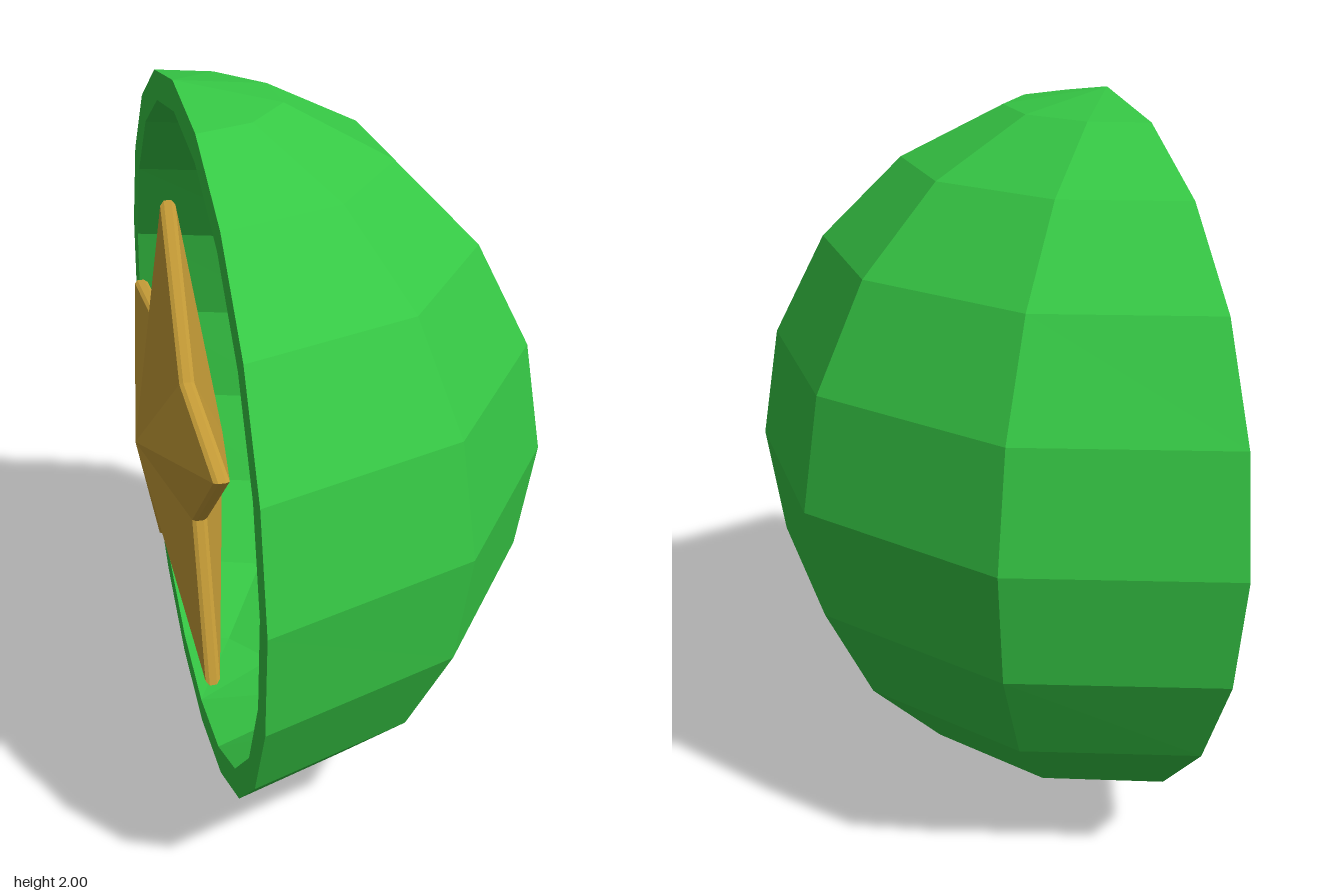
import * as THREE from 'three';

const CUT = -0.385;    // plane of the open rim
const CENTRE = -0.418; // x of the sphere centre
const LAT = 10, LON = 5;

// Collects quads into one flat-faced geometry, dropping collapsed triangles
function faceBuilder() {
  const positions = [];
  const tri = (a, b, c) => {
    const n = b.clone().sub(a).cross(c.clone().sub(a));
    if (n.length() > 1e-7) for (const p of [a, b, c]) positions.push(p.x, p.y, p.z);
  };
  return {
    quad(a, b, c, d) { tri(a, b, c); tri(a, c, d); },
    build() {
      const g = new THREE.BufferGeometry();
      g.setAttribute('position', new THREE.Float32BufferAttribute(positions, 3));
      g.computeVertexNormals();
      return g;
    },
  };
}

// Point on the half sphere, trimmed at the rim plane
function domePoint(radius, i, j) {
  const t = (i / LAT) * Math.PI, p = (j / LON) * Math.PI;
  return new THREE.Vector3(
    Math.max(CUT, CENTRE + radius * Math.sin(t) * Math.sin(p)),
    1 + radius * Math.cos(t),
    radius * Math.sin(t) * Math.cos(p));
}

function domeSurface(radius, inward) {
  const f = faceBuilder();
  for (let i = 0; i < LAT; i++) {
    for (let j = 0; j < LON; j++) {
      const c = [[i, j], [i + 1, j], [i + 1, j + 1], [i, j + 1]].map(([u, v]) => domePoint(radius, u, v));
      if (inward) c.reverse();
      f.quad(...c);
    }
  }
  return f.build();
}

// Flat ring joining the outer and inner surfaces
function rimSurface(outer, inner) {
  const f = faceBuilder();
  for (const j of [0, LON]) {
    for (let i = 0; i < LAT; i++) {
      const c = [domePoint(outer, i, j), domePoint(outer, i + 1, j),
        domePoint(inner, i + 1, j), domePoint(inner, i, j)];
      if (j === 0) c.reverse();
      f.quad(...c);
    }
  }
  return f.build();
}

// Five-pointed star lofted along x, peaked on both sides with a bevelled edge
function starSurface() {
  const rings = [[-0.535, 0], [-0.432, 0.98], [-0.422, 1], [-0.402, 1], [-0.392, 0.98], [-0.29, 0]];
  const point = ([x, scale], k) => {
    const a = (k * Math.PI) / 5, r = scale * (k % 2 ? 0.315 : 0.69);
    return new THREE.Vector3(x, 1 + r * Math.cos(a), r * Math.sin(a));
  };
  const f = faceBuilder();
  for (let s = 0; s < rings.length - 1; s++) {
    for (let k = 0; k < 10; k++) {
      f.quad(point(rings[s], k), point(rings[s], k + 1), point(rings[s + 1], k + 1), point(rings[s + 1], k));
    }
  }
  return f.build();
}

export function createModel() {
  const green = new THREE.MeshStandardMaterial({ color: 0x36c845, flatShading: true });
  green.name = 'green';
  const gold = new THREE.MeshStandardMaterial({ color: 0xc99f38, flatShading: true });
  gold.name = 'gold';

  const model = new THREE.Group();
  model.name = 'halfShellWithStar';
  const add = (name, geometry, material, parent) => {
    const mesh = new THREE.Mesh(geometry, material);
    mesh.name = name;
    parent.add(mesh);
  };

  // Hollow half shell
  const shell = new THREE.Group();
  shell.name = 'shell';
  add('shellOutside', domeSurface(1, false), green, shell);
  add('shellInside', domeSurface(0.92, true), green, shell);
  add('shellRim', rimSurface(1, 0.92), green, shell);
  model.add(shell);

  // Star floating in the opening
  add('star', starSurface(), gold, model);
  return model;
}
